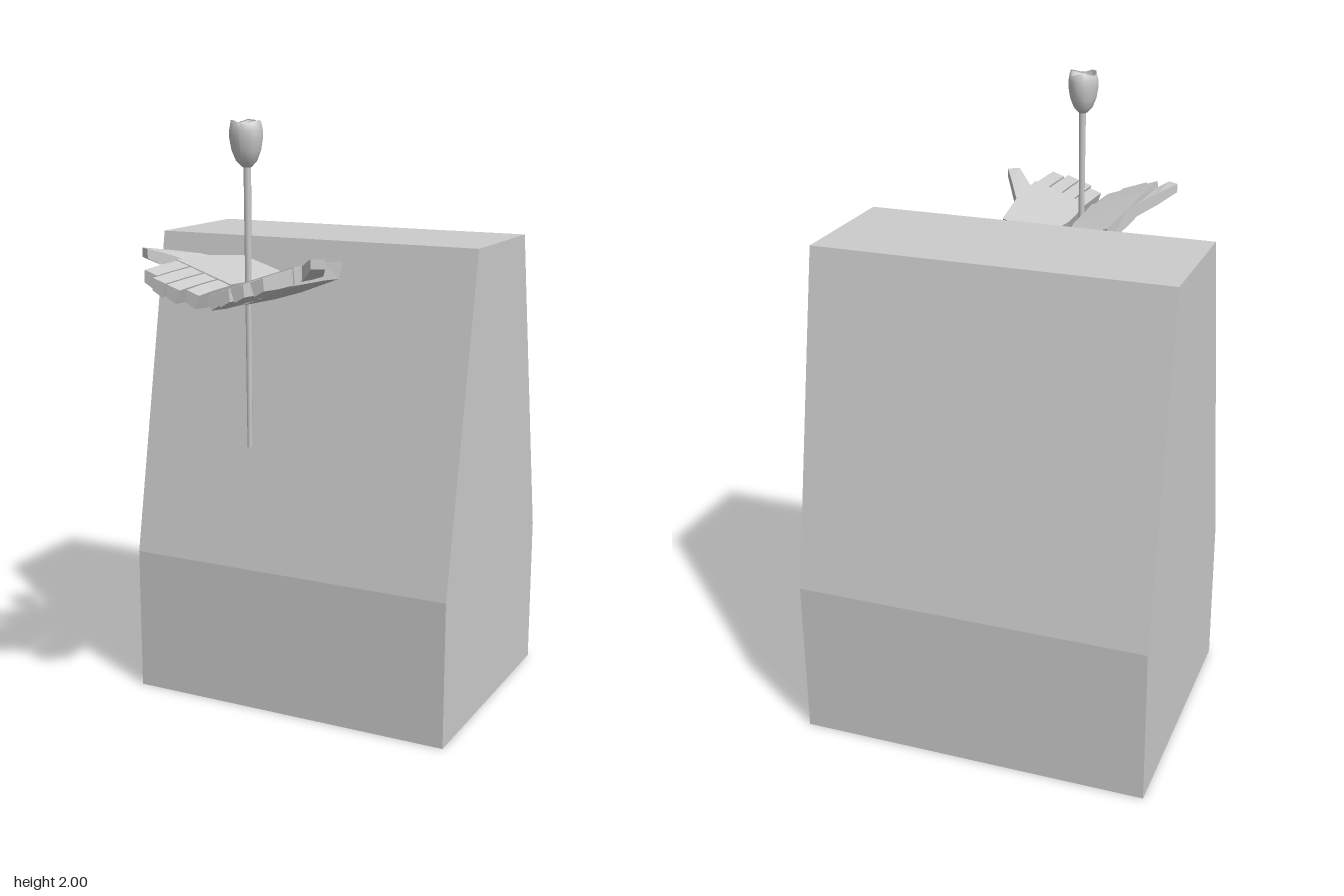
import * as THREE from 'three';

const flat = new THREE.MeshStandardMaterial({ color: 0xcccccc, flatShading: true });
const smooth = new THREE.MeshStandardMaterial({ color: 0xcccccc, side: THREE.DoubleSide });

function addMesh(parent, name, geometry, material = flat) {
  const mesh = new THREE.Mesh(geometry, material);
  mesh.name = name;
  parent.add(mesh);
  return mesh;
}

// Faceted solid through four-cornered rings, mirrored in x when side is -1
function loft(rings, side) {
  const pos = [];
  const tri = (a, b, c) => {
    for (const p of side > 0 ? [a, b, c] : [a, c, b]) pos.push(p[0] * side, p[1], p[2]);
  };
  const quad = (a, b, c, d) => { tri(a, b, c); tri(a, c, d); };
  for (let r = 0; r < rings.length - 1; r++) {
    const a = rings[r], b = rings[r + 1];
    for (let i = 0; i < 4; i++) {
      const j = (i + 1) % 4;
      quad(a[i], a[j], b[j], b[i]);
    }
  }
  quad(...[...rings[0]].reverse());
  quad(...rings[rings.length - 1]);
  const geometry = new THREE.BufferGeometry();
  geometry.setAttribute('position', new THREE.Float32BufferAttribute(pos, 3));
  geometry.computeVertexNormals();
  return geometry;
}

// Tilted slab section: inner and outer top corners, with the underside offset below
function slab(z, xi, yi, xo, yo, thick, bottomShift = 0) {
  const dx = thick * 0.35;
  return [
    [xi + dx, yi - thick, z + bottomShift],
    [xo + dx * 0.2, yo - thick * 0.92, z + bottomShift],
    [xo, yo, z],
    [xi, yi, z],
  ];
}

function makeHand(side) {
  const hand = new THREE.Group();
  hand.name = side > 0 ? 'leftHand' : 'rightHand';

  // Palm, narrowing to the wrist
  addMesh(hand, 'palm', loft([
    slab(0.11, 0.035, 1.51, 0.18, 1.556, 0.055, 0.04),
    slab(0.29, 0.01, 1.51, 0.198, 1.575, 0.06),
    slab(0.49, 0.01, 1.52, 0.2, 1.585, 0.06),
  ], side));

  // Four fingers across the tilted front edge
  [0.67, 0.7, 0.7, 0.67].forEach((tip, i) => {
    const x0 = 0.013 + i * 0.047, x1 = x0 + 0.042;
    const y = (x) => 1.514 + 0.35 * x;
    const section = (z, drop, thick) => slab(z, x0, y(x0) - drop, x1, y(x1) - drop, thick);
    addMesh(hand, 'finger' + (i + 1), loft([
      section(0.485, 0.002, 0.054),
      section(0.59, 0.004, 0.05),
      section(tip, 0.008, 0.04),
    ], side));
  });

  // Thumb, spreading outwards and forwards
  const thumbRing = (xf, zf, xb, zb, low, high) => [
    [xf, low, zf], [xb, low, zb], [xb, high, zb], [xf, high, zf],
  ];
  addMesh(hand, 'thumb', loft([
    thumbRing(0.18, 0.47, 0.18, 0.26, 1.52, 1.565),
    thumbRing(0.208, 0.45, 0.215, 0.32, 1.54, 1.583),
    thumbRing(0.243, 0.49, 0.265, 0.42, 1.561, 1.602),
    thumbRing(0.275, 0.53, 0.31, 0.505, 1.587, 1.616),
  ], side));
  return hand;
}

function makeFlower() {
  const flower = new THREE.Group();
  flower.name = 'flower';
  flower.position.z = 0.4;

  // Tapered stem
  addMesh(flower, 'stem', new THREE.CylinderGeometry(0.012, 0.008, 0.88, 8), smooth)
    .position.y = 1.44;

  // Cupped bud with an uneven rim and a hollow centre
  const profile = [
    [0.001, 1.858], [0.014, 1.861], [0.032, 1.88], [0.044, 1.91], [0.05, 1.945],
    [0.05, 1.97], [0.045, 1.994], [0.039, 1.99], [0.035, 1.965], [0.001, 1.95],
  ].map(([r, y]) => new THREE.Vector2(r, y));
  const bud = new THREE.LatheGeometry(profile, 14);
  const p = bud.attributes.position;
  for (let i = 0; i < p.count; i++) {
    const x = p.getX(i), y = p.getY(i), z = p.getZ(i);
    const angle = Math.atan2(z, x);
    const k = 1 + 0.06 * Math.sin(3 * angle);
    const lift = y > 1.98 ? 0.006 * Math.sin(3 * angle + 1) : 0;
    p.setXYZ(i, x * k, y + lift, z * k * 1.04);
  }
  bud.computeVertexNormals();
  addMesh(flower, 'bud', bud, smooth);
  return flower;
}

export function createModel() {
  const model = new THREE.Group();
  model.name = 'handsWithFlower';

  // Tapered block, extruded across x from its side profile
  const outline = new THREE.Shape([
    [0.17, 0], [0.17, 0.5], [-0.045, 1.6], [-0.49, 1.6], [-0.7, 0.52], [-0.7, 0],
  ].map(([z, y]) => new THREE.Vector2(z, y)));
  const block = new THREE.ExtrudeGeometry(outline, { depth: 1.15, bevelEnabled: false });
  block.translate(0, 0, -0.575).rotateY(-Math.PI / 2);
  addMesh(model, 'block', block);

  model.add(makeHand(1), makeHand(-1), makeFlower());
  return model;
}
